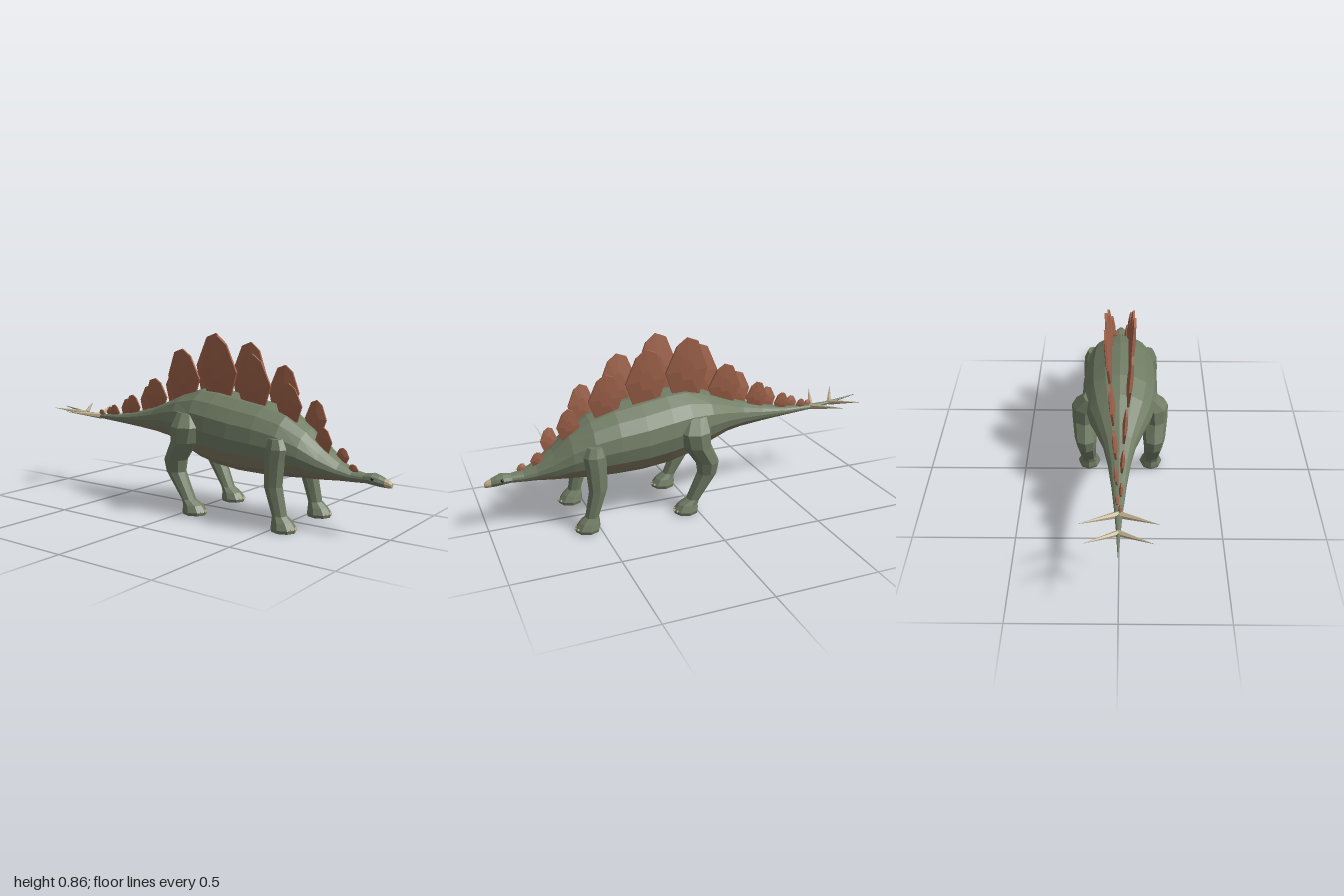
import * as THREE from 'three';

const material = (color) => new THREE.MeshStandardMaterial({ color, flatShading: true });
const V = (x, y, z) => new THREE.Vector3(x, y, z);

// Skin over rings of points; rings run counter-clockwise seen from before the first ring.
function loft(rings, { from = 0, to = rings[0].length, caps = true } = {}) {
  const pos = [];
  const n = rings[0].length;
  const tri = (...pts) => pts.forEach((p) => pos.push(p.x, p.y, p.z));
  const centre = (ring) => ring.reduce((c, p) => c.add(p), V(0, 0, 0)).divideScalar(n);
  for (let j = from; j < to; j++) {
    const k = (j + 1) % n;
    const jj = j % n;
    for (let i = 0; i < rings.length - 1; i++) {
      const [a, b] = [rings[i], rings[i + 1]];
      tri(a[jj], b[jj], a[k]);
      tri(a[k], b[jj], b[k]);
    }
    if (caps) {
      const last = rings[rings.length - 1];
      tri(centre(rings[0]), rings[0][jj], rings[0][k]);
      tri(centre(last), last[k], last[jj]);
    }
  }
  const g = new THREE.BufferGeometry();
  g.setAttribute('position', new THREE.Float32BufferAttribute(pos, 3));
  g.computeVertexNormals();
  return g;
}

const circle = (n, fn) => Array.from({ length: n }, (_, i) => {
  const a = (i / n) * Math.PI * 2;
  return fn(Math.cos(a), Math.sin(a));
});

// Upright ring across the body from [z, top, bottom, half width]
const bodyRing = (n) => ([z, top, bottom, w]) =>
  circle(n, (c, s) => V(c * w, (top + bottom) / 2 + (s * (top - bottom)) / 2, z));

// Level ring across a leg from [y, x, z, radius x, radius z]
const legRing = (side) => ([y, x, z, rx, rz]) =>
  circle(8, (c, s) => V(side * x + c * rx, y, z + s * rz));

const BODY = [
  [0.89, 0.277, 0.237, 0.028], [0.82, 0.287, 0.234, 0.042], [0.76, 0.315, 0.232, 0.062],
  [0.68, 0.375, 0.226, 0.1], [0.6, 0.45, 0.222, 0.135], [0.5, 0.515, 0.215, 0.165],
  [0.38, 0.553, 0.211, 0.183], [0.25, 0.575, 0.213, 0.192], [0.12, 0.597, 0.227, 0.19],
  [0.02, 0.602, 0.252, 0.183], [-0.1, 0.568, 0.3, 0.157], [-0.2, 0.525, 0.336, 0.118],
  [-0.3, 0.485, 0.35, 0.08], [-0.42, 0.448, 0.36, 0.053], [-0.56, 0.418, 0.37, 0.034],
  [-0.7, 0.405, 0.379, 0.02], [-0.82, 0.407, 0.389, 0.011], [-1, 0.426, 0.424, 0.001],
];

// Top height and half width of the body at any z
function bodyAt(z) {
  const i = Math.max(1, BODY.findIndex((r) => r[0] <= z));
  const [a, b] = [BODY[i - 1], BODY[i]];
  const t = (z - a[0]) / (b[0] - a[0]);
  return { top: a[1] + (b[1] - a[1]) * t, width: a[3] + (b[3] - a[3]) * t };
}

const HEAD = [
  [0.97, 0.268, 0.228, 0.021], [0.945, 0.279, 0.23, 0.032], [0.915, 0.287, 0.234, 0.04],
  [0.885, 0.281, 0.237, 0.036], [0.86, 0.277, 0.238, 0.027],
];
const BEAK = [[1, 0.252, 0.23, 0.011], [0.99, 0.26, 0.228, 0.016], [0.97, 0.268, 0.228, 0.021]];

const FRONT_LEG = [
  [0, 0.163, 0.56, 0.054, 0.058], [0.015, 0.163, 0.56, 0.058, 0.062],
  [0.045, 0.163, 0.55, 0.047, 0.05], [0.07, 0.163, 0.537, 0.036, 0.034],
  [0.2, 0.163, 0.502, 0.04, 0.045], [0.32, 0.16, 0.505, 0.041, 0.052],
  [0.37, 0.158, 0.51, 0.04, 0.055], [0.415, 0.15, 0.505, 0.03, 0.036],
];
const HIND_LEG = [
  [0, 0.163, 0.056, 0.054, 0.06], [0.015, 0.163, 0.056, 0.058, 0.064],
  [0.045, 0.163, 0.045, 0.047, 0.05], [0.07, 0.165, 0.02, 0.038, 0.032],
  [0.2, 0.17, -0.052, 0.047, 0.05], [0.26, 0.173, -0.052, 0.056, 0.06],
  [0.35, 0.175, 0, 0.064, 0.07], [0.425, 0.17, 0.01, 0.07, 0.08],
  [0.49, 0.135, -0.01, 0.045, 0.055],
];

// Back plates, front to rear: [z, tip height, half length]
const PLATES = [
  [0.82, 0.315, 0.025], [0.75, 0.375, 0.033], [0.68, 0.47, 0.042], [0.6, 0.577, 0.055],
  [0.51, 0.657, 0.066], [0.42, 0.727, 0.082], [0.32, 0.783, 0.095], [0.22, 0.828, 0.1],
  [0.12, 0.862, 0.106], [0.01, 0.865, 0.108], [-0.1, 0.79, 0.098], [-0.2, 0.703, 0.085],
  [-0.3, 0.63, 0.07], [-0.39, 0.58, 0.058], [-0.47, 0.53, 0.047], [-0.54, 0.5, 0.04],
  [-0.61, 0.465, 0.032], [-0.66, 0.447, 0.026], [-0.71, 0.43, 0.021],
];
const PLATE_OUTLINE = [[-0.6, 0], [0.65, 0], [1, 0.45], [0.5, 0.93], [0, 1], [-0.5, 0.86], [-1, 0.42]];

// Lens-shaped plate standing on the origin
function plateGeometry(height, half) {
  const t = 0.006 + half * 0.07;
  const ring = (x, k) => PLATE_OUTLINE.map(([u, v]) =>
    V(x, (0.45 + (v - 0.45) * k) * height, -u * k * half));
  return loft([ring(t, 0.35), ring(t * 0.4, 1), ring(-t * 0.4, 1), ring(-t, 0.35)]);
}

// Cone with its base at one point and its tip at another
function spikeGeometry(base, tip, radius, sides) {
  const dir = tip.clone().sub(base);
  const g = new THREE.ConeGeometry(radius, dir.length(), sides);
  g.translate(0, dir.length() / 2, 0);
  g.applyQuaternion(new THREE.Quaternion().setFromUnitVectors(V(0, 1, 0), dir.normalize()));
  return g.translate(base.x, base.y, base.z);
}

export function createModel() {
  const model = new THREE.Group();
  const skin = material(0x717d65);
  const bellySkin = material(0x857b64);
  const plateSkin = material(0xa0634a);
  const horn = material(0xb9aa8a);
  const black = material(0x141414);
  const add = (name, geometry, mat) => {
    const mesh = new THREE.Mesh(geometry, mat);
    mesh.name = name;
    model.add(mesh);
    return mesh;
  };

  // Trunk, neck and tail, with a paler underside
  const bodyRings = BODY.map(bodyRing(16));
  add('back', loft(bodyRings, { from: -1 + 16, to: 25, caps: false }), skin);
  add('belly', loft(bodyRings, { from: 9, to: 15, caps: false }), bellySkin);

  // Head
  add('head', loft(HEAD.map(bodyRing(10))), skin);
  add('beak', loft(BEAK.map(bodyRing(10))), horn);

  for (const side of [1, -1]) {
    const label = side > 0 ? 'left' : 'right';
    add(label + 'Eye', new THREE.IcosahedronGeometry(0.007, 1), black)
      .position.set(side * 0.036, 0.266, 0.922);

    // Legs with three toenails each
    for (const [name, rows] of [['FrontLeg', FRONT_LEG], ['HindLeg', HIND_LEG]]) {
      add(label + name, loft(rows.map(legRing(side))), skin);
      const [, x, z, , rz] = rows[1];
      for (const k of [-1, 0, 1]) {
        const nail = add(label + name + 'Toenail', new THREE.IcosahedronGeometry(0.009, 0), horn);
        nail.position.set(side * x + k * 0.02, 0.017, z + rz - 0.004 - Math.abs(k) * 0.008);
        nail.scale.set(0.8, 0.8, 1);
      }
    }

    // Tail spikes
    add(label + 'FrontTailSpike',
      spikeGeometry(V(0, 0.393, -0.725), V(side * 0.177, 0.428, -0.818), 0.017, 6), horn);
    add(label + 'RearTailSpike',
      spikeGeometry(V(0, 0.4, -0.84), V(side * 0.15, 0.437, -0.935), 0.014, 6), horn);
  }

  // Plates alternate between the two sides of the spine
  PLATES.forEach(([z, tip, half], i) => {
    const side = i % 2 ? 1 : -1;
    const { top, width } = bodyAt(z);
    const base = top - 0.01 - width * 0.12;
    const plate = add('backPlate', plateGeometry(tip - base, half), plateSkin);
    plate.position.set(side * width * 0.25, base, z);
    plate.rotation.z = -side * 0.085;
  });

  return model;
}
